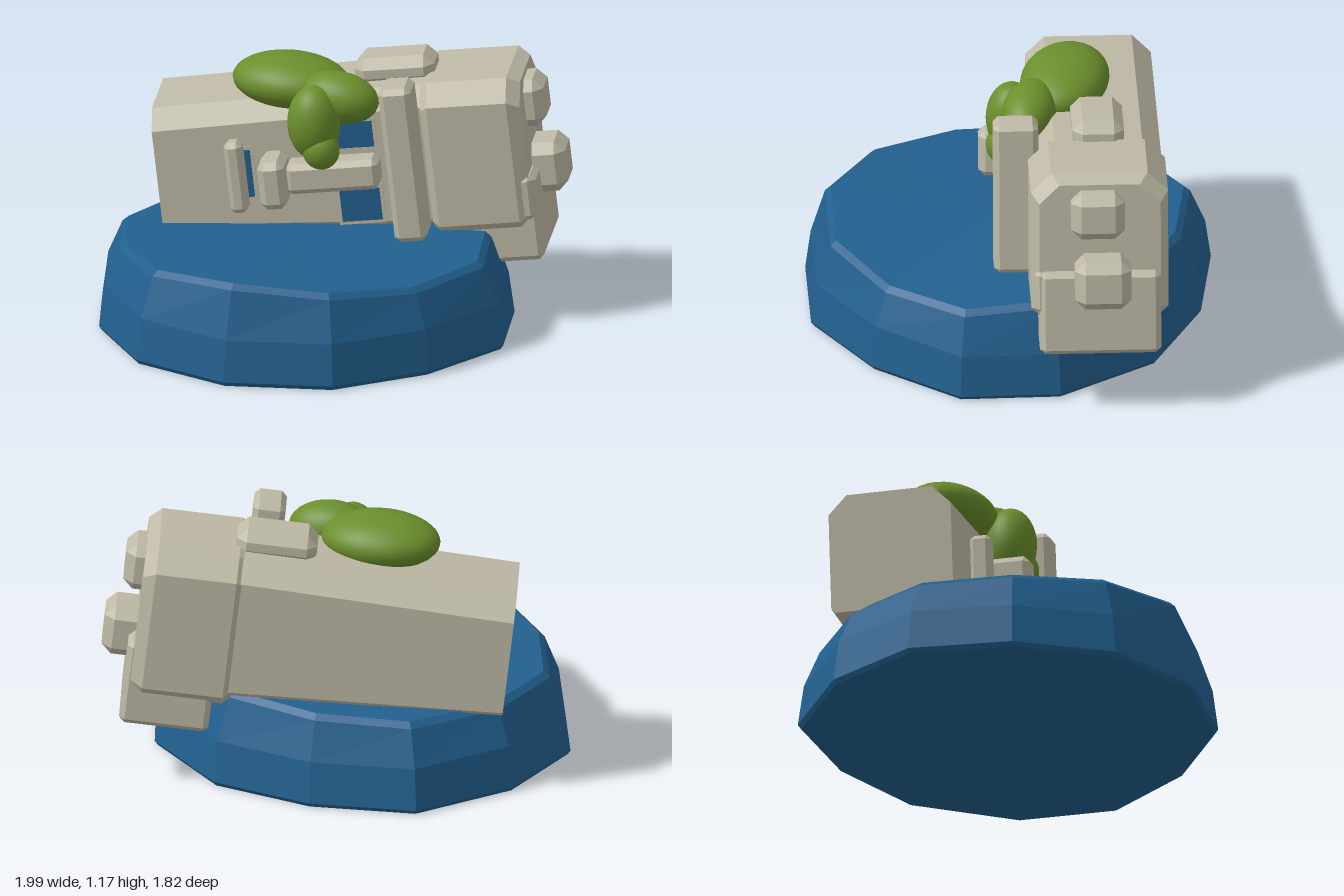
import * as THREE from 'three';
import { ConvexGeometry } from 'three/addons/geometries/ConvexGeometry.js';

const material = (name, color) => {
  const m = new THREE.MeshStandardMaterial({ color });
  m.name = name;
  return m;
};

const mesh = (name, geometry, mat, parent) => {
  const m = new THREE.Mesh(geometry, mat);
  m.name = name;
  parent.add(m);
  return m;
};

// Box with every edge chamfered by c
function chamferBox(w, h, d, c) {
  const points = [];
  for (const sx of [-1, 1]) for (const sy of [-1, 1]) for (const sz of [-1, 1]) {
    for (let full = 0; full < 3; full++) {
      const inset = (axis) => (axis === full ? 0 : c);
      points.push(new THREE.Vector3(
        sx * (w / 2 - inset(0)), sy * (h / 2 - inset(1)), sz * (d / 2 - inset(2))));
    }
  }
  return new ConvexGeometry(points);
}

// Hull through octagonal sections along x: [x, half width, bottom, top, top chamfer, bottom chamfer]
function sectionHull(sections) {
  const points = [];
  for (const [x, hw, bottom, top, ct, cb] of sections) {
    for (const s of [-1, 1]) {
      points.push(
        new THREE.Vector3(x, top, s * (hw - ct)),
        new THREE.Vector3(x, top - ct, s * hw),
        new THREE.Vector3(x, bottom + cb, s * hw),
        new THREE.Vector3(x, bottom, s * (hw - cb)));
    }
  }
  return new ConvexGeometry(points);
}

// Faceted mound: an irregular outline lofted through shrinking rings
function moundGeometry() {
  // x, z, height of the top rim
  const outline = [
    [-0.05, -0.9, 0.41], [-0.53, -0.84, 0.4], [-0.87, -0.47, 0.39], [-1, -0.02, 0.39],
    [-0.84, 0.42, 0.4], [-0.52, 0.77, 0.42], [-0.05, 0.9, 0.45], [0.42, 0.77, 0.42],
    [0.74, 0.42, 0.385], [0.92, -0.02, 0.4], [0.8, -0.45, 0.435], [0.42, -0.8, 0.43],
  ];
  const n = outline.length, cx = -0.04;
  const ring = (scale, y) => outline.map(([x, z, top]) =>
    [cx + (x - cx) * scale, y ?? top, z * scale]);
  const rings = [ring(0.985, 0), ring(1, 0.02), ring(0.972, 0.21), ring(0.9), ring(0.87)];
  rings[3].forEach((p) => { p[1] -= 0.025; });
  const pos = [];
  const tri = (a, b, c) => pos.push(...a, ...b, ...c);
  for (let i = 0; i < n; i++) {
    const j = (i + 1) % n;
    for (let r = 0; r < rings.length - 1; r++) {
      const lo = rings[r], hi = rings[r + 1];
      tri(lo[i], lo[j], hi[j]);
      tri(lo[i], hi[j], hi[i]);
    }
    tri(rings[4][i], rings[4][j], [cx, 0.43, 0]);
    tri(rings[0][j], rings[0][i], [cx, 0, 0]);
  }
  const g = new THREE.BufferGeometry();
  g.setAttribute('position', new THREE.Float32BufferAttribute(pos, 3));
  g.computeVertexNormals();
  return g;
}

export function createModel() {
  const model = new THREE.Group();
  const grey = material('warm grey', 0xbfbaa6);
  const blue = material('deep blue', 0x22608f);
  const green = material('leaf green', 0x6b8f2c);

  mesh('mound', moundGeometry(), blue, model);

  // Wrecked machine, turned and pitched as one unit
  const machine = new THREE.Group();
  machine.name = 'machine';
  machine.position.set(0, 0.7, -0.43);
  machine.rotation.set(0, 0.255, 0.113, 'YXZ');
  model.add(machine);

  mesh('hull', sectionHull([
    [-0.815, 0.28, -0.24, 0.305, 0.085, 0.02],
    [0.45, 0.28, -0.3, 0.34, 0.085, 0.02],
  ]), grey, machine);

  const rear = mesh('rearBlock', sectionHull([
    [0.4, 0.285, -0.33, 0.335, 0.09, 0.05],
    [0.43, 0.305, -0.35, 0.35, 0.09, 0.05],
    [0.79, 0.305, -0.35, 0.35, 0.09, 0.05],
    [0.845, 0.27, -0.33, 0.315, 0.09, 0.05],
  ]), grey, machine);
  rear.position.z = 0.01;

  // Chamfered attachments: name, size, chamfer, position
  const boxes = [
    ['lowerSkirt', [0.4, 0.4, 0.54], 0.025, [0.675, -0.3, 0.01]],
    ['skirtRib', [0.07, 0.2, 0.06], 0.02, [0.825, -0.2, 0.27]],
    ['upperThruster', [0.2, 0.22, 0.24], 0.045, [0.83, 0.18, 0.02]],
    ['lowerThruster', [0.22, 0.23, 0.25], 0.045, [0.88, -0.13, 0]],
    ['topHatch', [0.36, 0.13, 0.23], 0.045, [0.27, 0.365, 0]],
    ['sideFin', [0.145, 0.72, 0.2], 0.025, [0.317, 0.045, 0.365]],
    ['handleBar', [0.42, 0.14, 0.14], 0.025, [-0.01, 0.0, 0.36]],
    ['handleKnob', [0.12, 0.22, 0.22], 0.03, [-0.27, 0.0, 0.4]],
    ['sideRib', [0.08, 0.33, 0.1], 0.022, [-0.45, 0.005, 0.325]],
  ];
  for (const [name, size, chamfer, at] of boxes) {
    mesh(name, chamferBox(...size, chamfer), grey, machine).position.set(...at);
  }

  // Blue panels with thin frames on the front side: width, height, x, y
  const panels = [
    ['lowerPanel', 0.18, 0.15, 0.085, -0.18],
    ['upperPanel', 0.17, 0.12, 0.09, 0.15],
    ['narrowPanel', 0.03, 0.22, -0.4, 0.0],
  ];
  for (const [name, w, h, x, y] of panels) {
    mesh(name + 'Frame', new THREE.BoxGeometry(w + 0.03, h + 0.03, 0.008), grey, machine)
      .position.set(x, y, 0.282);
    mesh(name, new THREE.BoxGeometry(w, h, 0.008), blue, machine).position.set(x, y, 0.287);
  }

  // Foliage growing over the top: radii, position, tilt
  const leaves = [
    [[0.27, 0.12, 0.195], [-0.19, 1.05, -0.25], 0],
    [[0.185, 0.115, 0.12], [0.08, 1.035, -0.15], -0.08],
    [[0.12, 0.17, 0.115], [0.0, 0.94, -0.05], 0],
    [[0.085, 0.09, 0.075], [0.045, 0.825, -0.02], 0],
  ];
  const foliage = new THREE.Group();
  foliage.name = 'foliage';
  model.add(foliage);
  leaves.forEach(([radii, at, tilt], i) => {
    const leaf = mesh('leafClump' + (i + 1), new THREE.SphereGeometry(1, 28, 18), green, foliage);
    leaf.scale.set(...radii);
    leaf.position.set(...at);
    leaf.rotation.z = tilt;
  });

  return model;
}
